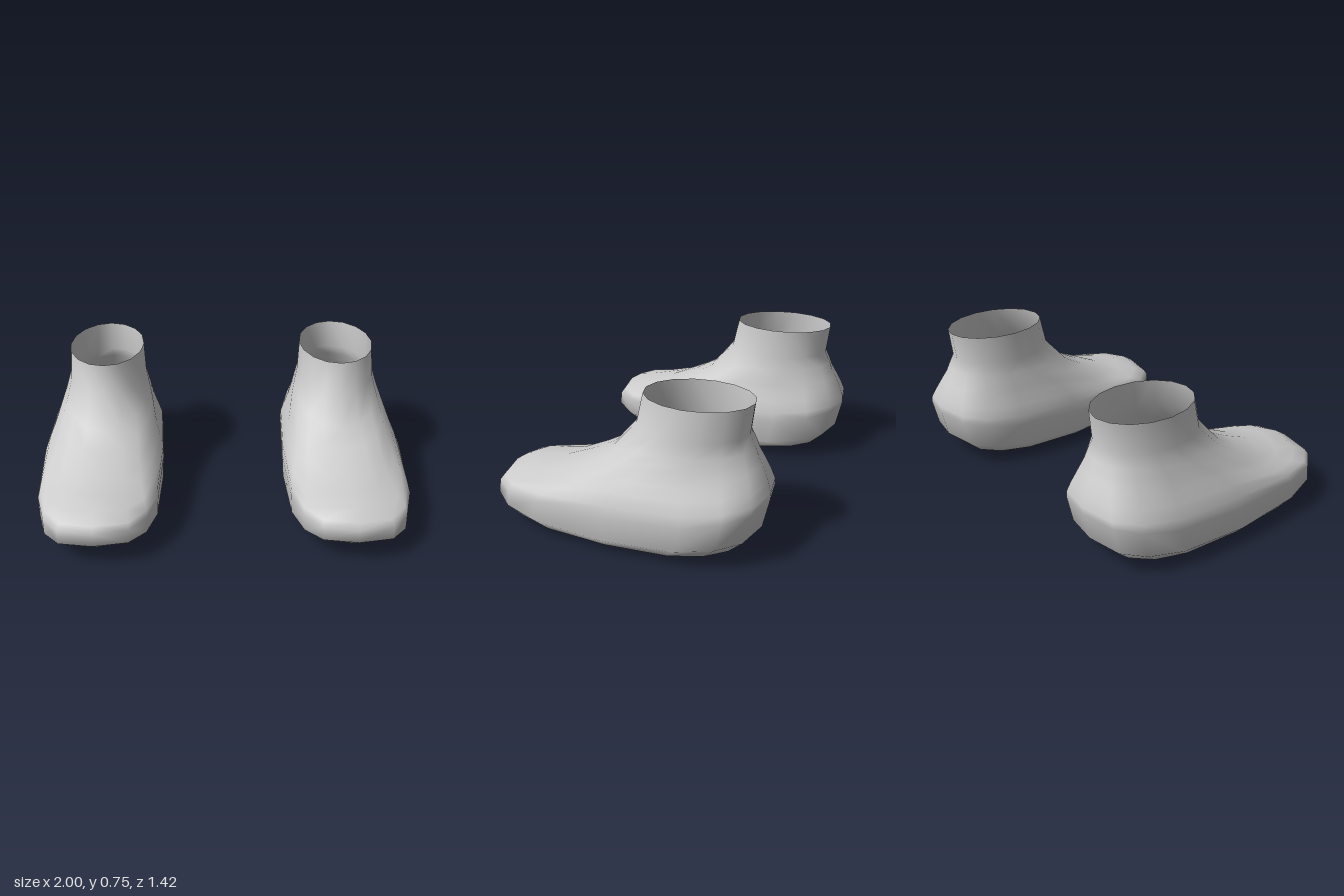
import * as THREE from 'three';
import { mergeVertices } from 'three/addons/utils/BufferGeometryUtils.js';

const SEGMENTS = 16;

// Rings from sole to ankle opening:
// [front z, front y, middle y, back z, back y, centre x, half width, exponent, toe corner drop]
const RINGS = [
  [0.30, 0.00, 0.004, -0.40, 0.01, 0.667, 0, 2.6, 0],
  [0.47, 0.015, 0.018, -0.46, 0.02, 0.667, 0.18, 2.8, 0],
  [0.62, 0.06, 0.036, -0.60, 0.065, 0.667, 0.295, 3, 0],
  [0.71, 0.135, 0.075, -0.68, 0.14, 0.669, 0.328, 3.1, 0],
  [0.70, 0.20, 0.20, -0.715, 0.29, 0.667, 0.333, 3.1, 0],
  [0.68, 0.235, 0.26, -0.715, 0.32, 0.663, 0.327, 3, 0.03],
  [0.61, 0.28, 0.325, -0.70, 0.37, 0.658, 0.305, 2.8, 0.1],
  [0.50, 0.30, 0.38, -0.685, 0.41, 0.654, 0.283, 2.6, 0.13],
  [0.38, 0.312, 0.425, -0.667, 0.45, 0.651, 0.268, 2.4, 0.1],
  [0.22, 0.375, 0.47, -0.645, 0.49, 0.648, 0.253, 2.2, 0.04],
  [0.10, 0.435, 0.515, -0.63, 0.53, 0.646, 0.237, 2.1, 0],
  [-0.035, 0.59, 0.59, -0.60, 0.59, 0.645, 0.215, 2, 0],
  [-0.07, 0.745, 0.745, -0.62, 0.745, 0.644, 0.205, 2, 0],
];

const signedPower = (v, p) => Math.sign(v) * Math.pow(Math.abs(v), p);

// One point of a superellipse ring that bends in height along its length
function ringPoint([zf, yf, ym, zb, yb, cx, hw, n, drop], i) {
  const a = (i / SEGMENTS) * Math.PI * 2;
  const s = i % (SEGMENTS / 2) === 0 ? 0 : signedPower(Math.sin(a), 2 / n);
  const t = i % (SEGMENTS / 2) === SEGMENTS / 4 ? 0 : signedPower(Math.cos(a), 2 / n);
  const y = ym + ((t > 0 ? yf : yb) - ym) * t * t - drop * s * s * Math.max(0, t);
  return [cx + hw * s, y, (zf + zb) / 2 + (t * (zf - zb)) / 2];
}

function bootGeometry(side) {
  const positions = [];
  const index = [];
  for (const ring of RINGS) {
    for (let i = 0; i < SEGMENTS; i++) {
      const [x, y, z] = ringPoint(ring, i);
      positions.push(side * x, y, z);
    }
  }
  const triangle = (a, b, c) => (side > 0 ? index.push(a, b, c) : index.push(a, c, b));
  for (let j = 0; j < RINGS.length - 1; j++) {
    for (let i = 0; i < SEGMENTS; i++) {
      const k = (i + 1) % SEGMENTS;
      const a = j * SEGMENTS + i;
      const b = j * SEGMENTS + k;
      triangle(a, b, b + SEGMENTS);
      triangle(a, b + SEGMENTS, a + SEGMENTS);
    }
  }
  let geometry = new THREE.BufferGeometry();
  geometry.setAttribute('position', new THREE.Float32BufferAttribute(positions, 3));
  geometry.setIndex(index);
  // Weld the sole's centre line so the shading stays smooth
  geometry = mergeVertices(geometry, 1e-4);
  geometry.computeVertexNormals();
  return geometry;
}

export function createModel() {
  const group = new THREE.Group();
  group.name = 'boots';
  const material = new THREE.MeshStandardMaterial({ color: 0xcccccc, side: THREE.DoubleSide });
  for (const [name, side] of [['leftBoot', 1], ['rightBoot', -1]]) {
    const boot = new THREE.Mesh(bootGeometry(side), material);
    boot.name = name;
    group.add(boot);
  }
  return group;
}
